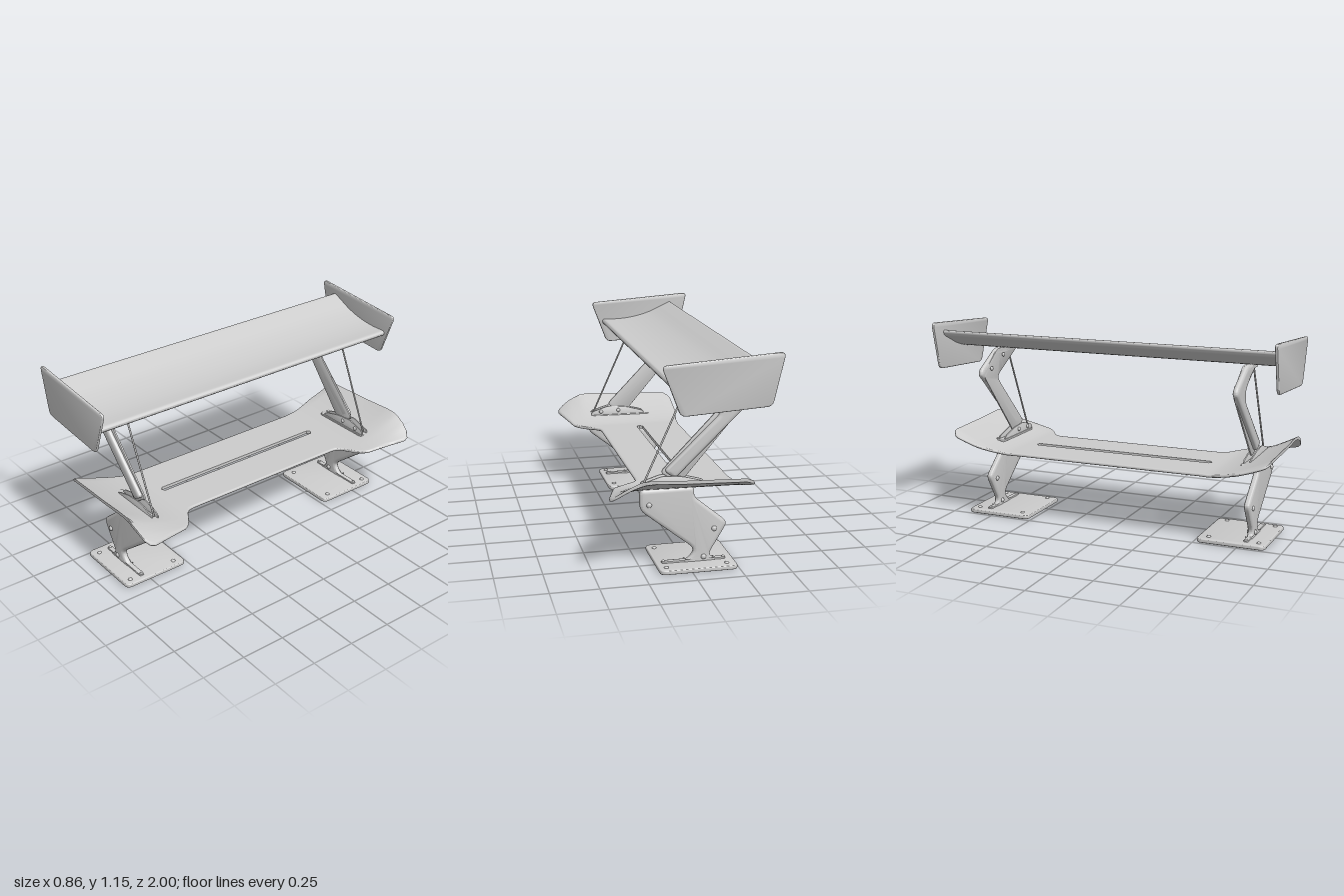
import * as THREE from 'three';
import { toCreasedNormals } from 'three/addons/utils/BufferGeometryUtils.js';

const mat = new THREE.MeshStandardMaterial({ color: 0xcccccc, roughness: 0.6 });
const { lerp, clamp } = THREE.MathUtils;

function part(parent, name, geometry, x = 0, y = 0, z = 0) {
  const mesh = new THREE.Mesh(geometry, mat);
  mesh.name = name;
  mesh.position.set(x, y, z);
  parent.add(mesh);
  return mesh;
}

// Piecewise-linear lookup in a short list of [key, value] pairs
function lookup(table, k) {
  if (k <= table[0][0]) return table[0][1];
  for (let i = 1; i < table.length; i++) {
    const [k0, v0] = table[i - 1], [k1, v1] = table[i];
    if (k <= k1) return lerp(v0, v1, (k - k0) / (k1 - k0));
  }
  return table[table.length - 1][1];
}

// Polygon with rounded corners
function roundedShape(points, r) {
  const p = points.map(([x, y]) => new THREE.Vector2(x, y));
  const shape = new THREE.Shape();
  p.forEach((c, i) => {
    const a = p[(i + p.length - 1) % p.length], b = p[(i + 1) % p.length];
    const ra = Math.min(r, a.distanceTo(c) * 0.45), rb = Math.min(r, b.distanceTo(c) * 0.45);
    const s = c.clone().add(a.clone().sub(c).setLength(ra));
    const e = c.clone().add(b.clone().sub(c).setLength(rb));
    if (i) shape.lineTo(s.x, s.y); else shape.moveTo(s.x, s.y);
    shape.quadraticCurveTo(c.x, c.y, e.x, e.y);
  });
  shape.closePath();
  return shape;
}

// Plate of total thickness t centred on z = 0, with a soft edge
function plate(points, r, t, bevel, inset = bevel) {
  const g = new THREE.ExtrudeGeometry(roundedShape(points, r), {
    depth: t - 2 * bevel, bevelThickness: bevel, bevelSize: inset, bevelOffset: -inset,
    bevelSegments: 4, curveSegments: 6,
  });
  g.translate(0, 0, -t / 2 + bevel);
  return toCreasedNormals(g, 0.6);
}

// Closed wing skin: cross-sections along z, each from x0(z) to x1(z)
function wing(zs, x0, x1, yAt, t, round0 = true, round1 = true) {
  const n = 28, pos = [], idx = [], ring = 2 * (n + 1);
  for (const z of zs) {
    const a = x0(z), b = x1(z), top = [], bottom = [];
    for (let i = 0; i <= n; i++) {
      const x = lerp(a, b, (1 - Math.cos(Math.PI * i / n)) / 2);
      const d = Math.min(round0 ? x - a : 1, round1 ? b - x : 1);
      const k = clamp(1 - d / (t / 2), 0, 0.98);
      const h = t / 2 * Math.sqrt(1 - k * k), y = yAt(x, z);
      top.push([x, y + h, z]);
      bottom.unshift([x, y - h, z]);
    }
    pos.push(...top.flat(), ...bottom.flat());
  }
  for (let s = 0; s < zs.length - 1; s++) {
    for (let i = 0; i < ring; i++) {
      const a = s * ring + i, b = s * ring + (i + 1) % ring, c = a + ring, d = b + ring;
      idx.push(a, c, b, b, c, d);
    }
  }
  const last = (zs.length - 1) * ring;
  for (let i = 0; i < n; i++) {
    const A = i, B = i + 1, C = ring - 1 - i, D = ring - 2 - i;
    idx.push(A, B, C, B, D, C);
    idx.push(last + A, last + C, last + B, last + B, last + C, last + D);
  }
  const g = new THREE.BufferGeometry();
  g.setAttribute('position', new THREE.Float32BufferAttribute(pos, 3));
  g.setIndex(idx);
  return toCreasedNormals(g, 0.7);
}

function rod(parent, name, a, b, r) {
  const A = new THREE.Vector3(...a), B = new THREE.Vector3(...b);
  const m = part(parent, name, new THREE.CylinderGeometry(r, r, A.distanceTo(B), 12));
  m.position.copy(A).lerp(B, 0.5);
  m.quaternion.setFromUnitVectors(new THREE.Vector3(0, 1, 0), B.sub(A).normalize());
}

function bolt(parent, x, y, z, r, axis) {
  const m = part(parent, 'bolt', new THREE.SphereGeometry(r, 16, 10), x, y, z);
  m.scale[axis] = 0.7;
}

export function createModel() {
  const model = new THREE.Group();

  // Upper wing: flat leading half, kicked up towards the trailing edge
  const camber = new THREE.SplineCurve([[-0.33, 1.087], [-0.26, 1.055], [-0.18, 1.02], [-0.08, 0.994],
    [0.02, 0.983], [0.12, 0.985]].map(([x, y]) => new THREE.Vector2(x, y))).getPoints(30).map(p => [p.x, p.y]);
  part(model, 'upperWing', wing([-0.986, 0.986], () => -0.33, () => 0.12, x => lookup(camber, x), 0.032));

  // Lower wing: straight middle with a slot, swept ears that curl upwards
  const front = [[0.5, 0.22], [0.53, 0.225], [0.56, 0.25], [0.6, 0.315], [0.635, 0.355], [0.66, 0.37],
    [0.86, 0.425], [0.89, 0.43], [0.915, 0.425], [0.935, 0.4], [0.945, 0.36], [0.95, 0.32]];
  const rear = [[0.55, -0.275], [0.65, -0.285], [0.78, -0.31], [0.92, -0.31], [0.94, -0.3], [0.95, -0.28]];
  const curl = [[-0.31, 0.09], [-0.26, 0.105], [0.05, 0.115], [0.22, 0.125], [0.28, 0.12], [0.36, 0.085], [0.43, 0.04]];
  const slot = [[0.53, 1], [0.545, 0]];
  const half = [0.3, 0.5, 0.53, 0.545, 0.56, 0.58, 0.6, 0.62, 0.635, 0.66, 0.69, 0.72, 0.75, 0.78, 0.81,
    0.84, 0.865, 0.89, 0.915, 0.935, 0.945, 0.95];
  const stations = [...half.map(z => -z).reverse(), 0, ...half];
  const lowerY = (x, z) => 0.395 + lookup(curl, x) * Math.pow(clamp((Math.abs(z) - 0.6) / 0.35, 0, 1), 1.6);
  const gap = (z, d) => -0.025 + d * lookup(slot, Math.abs(z));
  const lower = new THREE.Group();
  lower.name = 'lowerWing';
  lower.position.z = -0.012;
  model.add(lower);
  part(lower, 'lowerWingRear', wing(stations, z => lookup(rear, Math.abs(z)), z => gap(z, -0.018), lowerY, 0.018, true, false));
  part(lower, 'lowerWingFront', wing(stations, z => gap(z, 0.018), z => lookup(front, Math.abs(z)), lowerY, 0.018, false, true));

  // Outlines shared by both sides
  const endPlate = plate([[-0.435, 1.152], [-0.372, 0.882], [0.092, 0.853], [0.188, 1.108]], 0.03, 0.016, 0.006);
  const strut = plate([[0.03, 0.5], [0.06, 0.47], [0.12, 0.51], [-0.175, 0.795], [-0.18, 0.85], [-0.1, 0.91],
    [0.04, 0.975], [-0.15, 0.985], [-0.325, 0.885], [-0.335, 0.85], [-0.3, 0.82]], 0.025, 0.034, 0.014, 0.022);
  const flange = plate([[0.03, 0.44], [0.14, 0.5], [-0.15, 0.8], [-0.15, 0.83], [-0.08, 0.87], [0.09, 0.965],
    [-0.15, 0.985], [-0.31, 0.87], [-0.31, 0.84]], 0.03, 0.01, 0.003);
  const leg = plate([[-0.03, 0.43], [-0.03, 0.375], [-0.2, 0.235], [-0.2, 0.21], [-0.115, 0.07], [-0.12, 0.045],
    [-0.16, 0.02], [0.04, 0.02], [-0.01, 0.05], [-0.03, 0.085], [-0.015, 0.11], [0.24, 0.31], [0.255, 0.34],
    [0.255, 0.43]], 0.025, 0.036, 0.014, 0.02);
  const base = plate([[-0.242, -0.195], [0.17, -0.195], [0.17, 0.195], [-0.242, 0.195]], 0.035, 0.024, 0.008);
  base.rotateX(-Math.PI / 2);
  const strip = plate([[-0.2, -0.014], [0.14, -0.014], [0.14, 0.014], [-0.2, 0.014]], 0.012, 0.012, 0.003);
  strip.rotateX(-Math.PI / 2);
  const rail = plate([[-0.13, -0.028], [0.24, -0.028], [0.24, 0.028], [-0.13, 0.028]], 0.02, 0.012, 0.003);
  rail.rotateX(-Math.PI / 2);
  const web = plate([[-0.1, 0.425], [0.24, 0.425], [0.24, 0.455], [0.13, 0.49], [0.02, 0.48], [-0.09, 0.45]], 0.02, 0.008, 0.002);

  for (const s of [1, -1]) {
    const side = new THREE.Group();
    side.name = s > 0 ? 'leftSide' : 'rightSide';
    model.add(side);
    part(side, 'endPlate', endPlate, 0, 0, s * 0.992);

    // Cranked strut, its flange and the bracket on the lower wing
    const zs = s * 0.752;
    part(side, 'upperStrut', strut, 0, 0, zs);
    part(side, 'strutFlange', flange, 0, 0, zs - s * 0.012);
    part(side, 'bracketRail', rail, 0, 0.428, zs);
    for (const o of [-0.018, 0.018]) part(side, 'bracketWeb', web, 0, 0, zs + o);
    for (const [x, y] of [[-0.1, 0.94], [-0.24, 0.88], [0.07, 0.46], [0.18, 0.455]]) {
      bolt(side, x, y, zs - s * 0.024, 0.012, 'z');
    }
    for (const x of [-0.11, 0.215]) bolt(side, x, 0.437, zs + s * 0.02, 0.009, 'y');
    rod(side, 'stayRod', [0.228, 0.445, zs], [-0.01, 0.97, zs], 0.005);

    // Mounting leg and foot
    const zl = s * 0.788;
    part(side, 'leg', leg, 0, 0, zl);
    for (const [x, y] of [[0.208, 0.35], [-0.135, 0.2], [-0.08, 0.05]]) {
      for (const o of [-0.019, 0.019]) bolt(side, x, y, zl + o, 0.014, 'z');
    }
    part(side, 'base', base, 0, 0.015, s * 0.71);
    part(side, 'footStrip', strip, 0, 0.03, zl);
    for (const x of [-0.19, 0.13]) {
      bolt(side, x, 0.036, zl, 0.009, 'y');
      for (const z of [0.86, 0.575]) bolt(side, x, 0.027, s * z, 0.012, 'y');
    }
  }
  return model;
}
